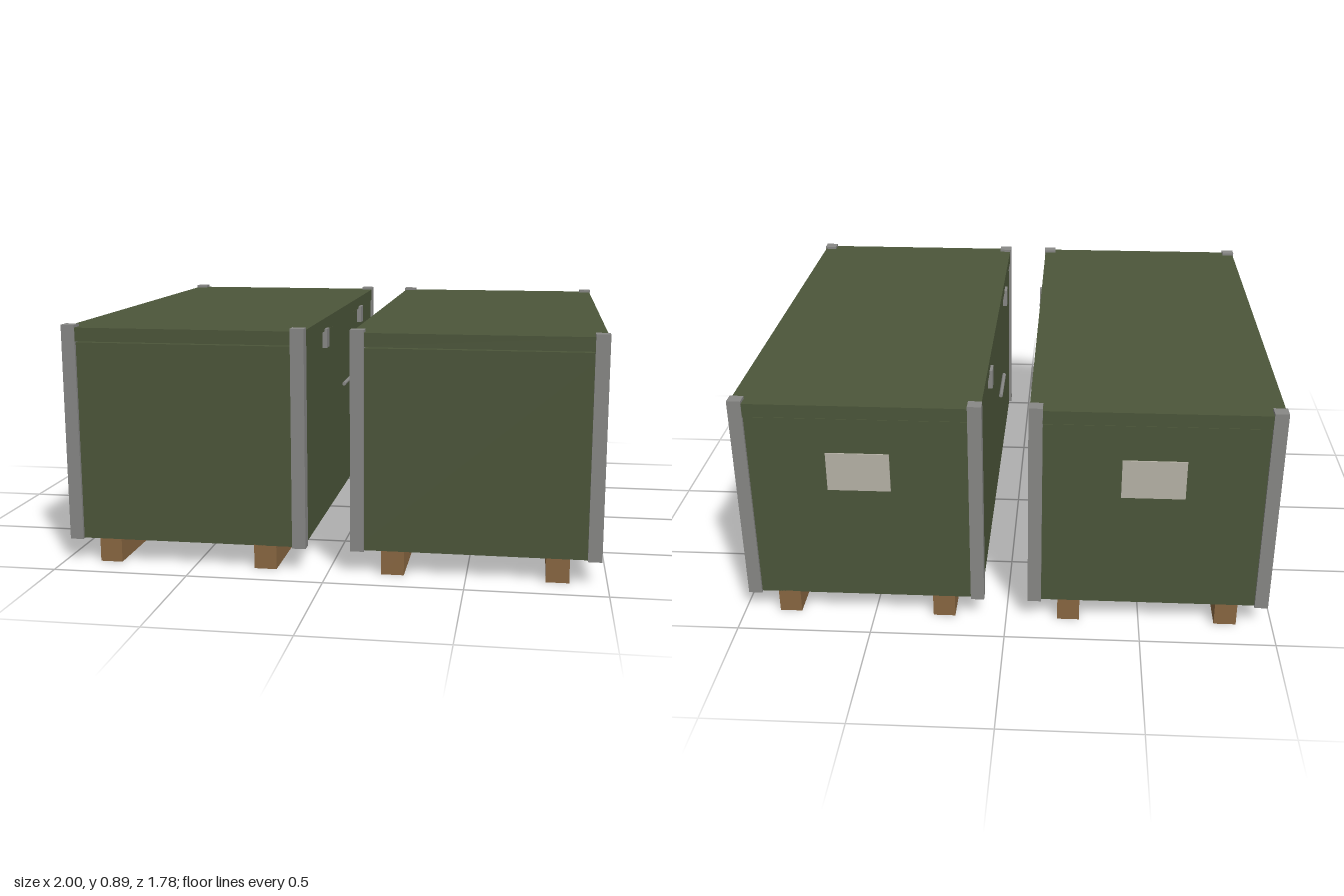
import * as THREE from 'three';

const paint = (color) => new THREE.MeshStandardMaterial({ color });

export function createModel() {
  const green = paint(0x4c563a);
  const steel = paint(0x888886);
  const wood = paint(0x8a6842);
  const paper = paint(0xb8b4a8);

  const box = (parent, name, mat, [w, h, d], [x, y, z]) => {
    const mesh = new THREE.Mesh(new THREE.BoxGeometry(w, h, d), mat);
    mesh.name = name;
    mesh.position.set(x, y, z);
    parent.add(mesh);
  };

  function createCrate() {
    const crate = new THREE.Group();
    crate.name = 'crate';

    // Body and slightly overhanging lid
    box(crate, 'body', green, [0.876, 0.737, 1.756], [0, 0.4565, 0]);
    box(crate, 'lid', green, [0.89, 0.05, 1.772], [0, 0.855, 0]);

    // Label plate on the back end
    box(crate, 'label', paper, [0.23, 0.15, 0.006], [0, 0.615, -0.88]);

    for (const side of [-1, 1]) {
      // Skid running the length of the crate
      box(crate, 'skid', wood, [0.083, 0.09, 1.756], [side * 0.295, 0.045, 0]);

      // Carrying bar on each long side
      const handle = new THREE.Mesh(new THREE.CylinderGeometry(0.008, 0.008, 0.215, 10), steel);
      handle.name = 'handle';
      handle.rotation.x = Math.PI / 2;
      handle.position.set(side * 0.462, 0.565, 0);
      crate.add(handle);

      for (const end of [-1, 1]) {
        // Corner posts and lid latches
        box(crate, 'cornerPost', steel, [0.05, 0.805, 0.048], [side * 0.423, 0.4875, end * 0.865]);
        box(crate, 'latch', steel, [0.02, 0.073, 0.055], [side * 0.446, 0.803, end * 0.44]);
      }
    }
    return crate;
  }

  // Two crates side by side
  const model = new THREE.Group();
  model.name = 'cratePair';
  for (const side of [-1, 1]) {
    const crate = createCrate();
    crate.name = side < 0 ? 'rightCrate' : 'leftCrate';
    crate.position.x = side * 0.53;
    model.add(crate);
  }
  return model;
}
